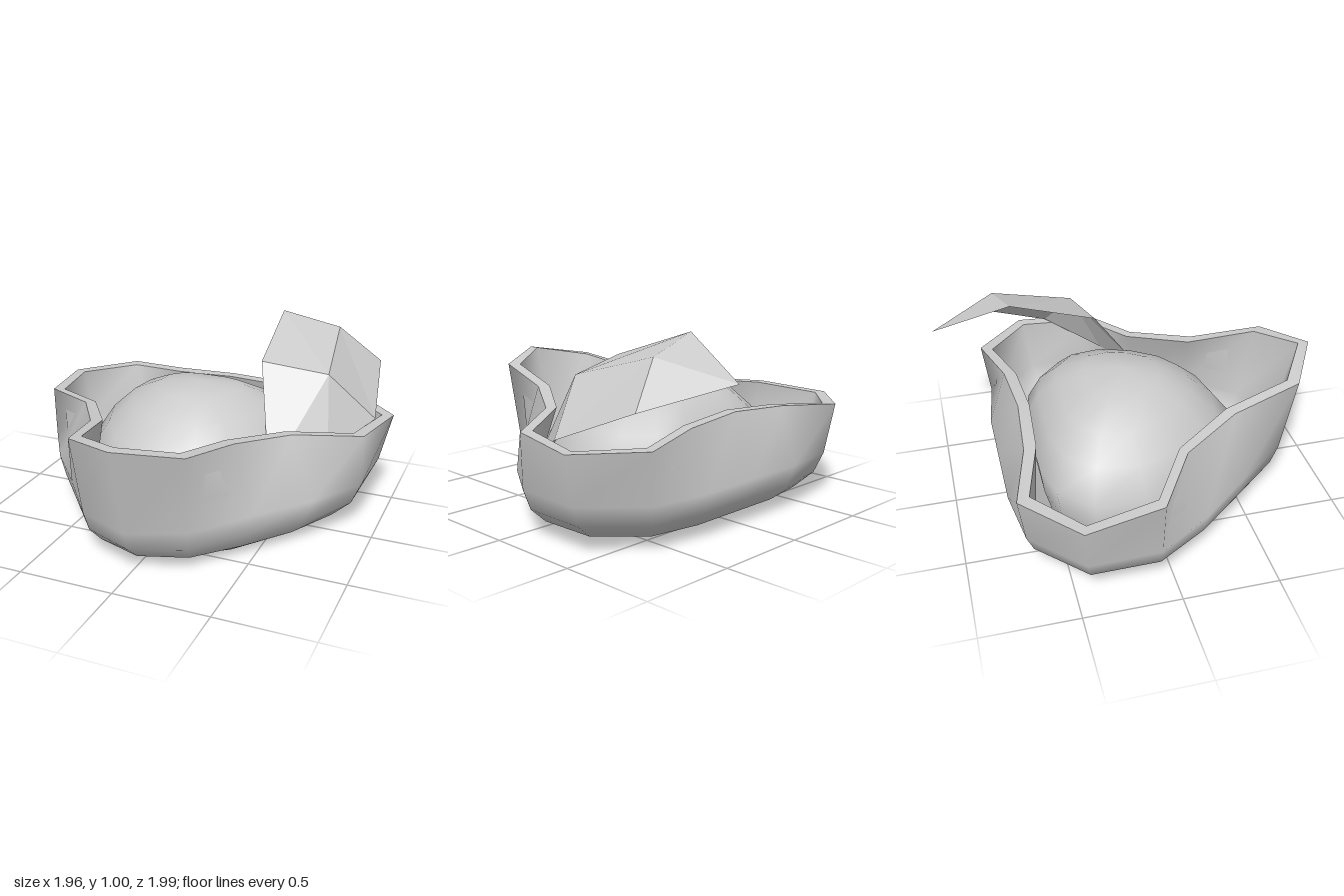
import * as THREE from 'three';
import { mergeVertices } from 'three/addons/utils/BufferGeometryUtils.js';

// Mirror a half outline [x, y, z] (front centre to back centre) into a closed ring
function ring(half) {
  const mirrored = half.slice(1, -1).reverse().map(([x, y, z]) => [-x, y, z]);
  return [...half, ...mirrored];
}

// Skin rings of equal length, in order, with smooth normals
function loft(rings) {
  const n = rings[0].length;
  const index = [];
  for (let r = 0; r < rings.length - 1; r++) {
    for (let c = 0; c < n; c++) {
      const a = r * n + c, b = r * n + (c + 1) % n;
      index.push(a, b, b + n, a, b + n, a + n);
    }
  }
  let geo = new THREE.BufferGeometry();
  geo.setAttribute('position', new THREE.Float32BufferAttribute(rings.flat(2), 3));
  geo.setIndex(index);
  geo = mergeVertices(geo);
  geo.computeVertexNormals();
  return geo;
}

// Blend two half outlines in plan, at a fixed height
const blend = (a, b, t, y) =>
  a.map((p, i) => [p[0] + (b[i][0] - p[0]) * t, y, p[2] + (b[i][2] - p[2]) * t]);

const rimOuter = [
  [0, 0.72, 0.99], [0.3, 0.67, 0.82], [0.39, 0.605, 0.44], [0.59, 0.565, 0.13],
  [0.91, 0.53, -0.07], [0.98, 0.51, -0.47], [0.7, 0.52, -0.735], [0.35, 0.55, -0.645], [0, 0.57, -0.62],
];
const rimInnerXZ = [
  [0, 0.93], [0.255, 0.77], [0.335, 0.41], [0.545, 0.1],
  [0.85, -0.09], [0.92, -0.45], [0.67, -0.67], [0.335, -0.58], [0, -0.56],
];
const rimInner = rimInnerXZ.map(([x, z], i) => [x, rimOuter[i][1], z]);
const belly = [
  [0, 0.25, 0.87], [0.28, 0.25, 0.75], [0.5, 0.25, 0.47], [0.73, 0.25, 0.2],
  [0.91, 0.25, -0.08], [0.92, 0.25, -0.45], [0.66, 0.25, -0.7], [0.34, 0.25, -0.745], [0, 0.25, -0.745],
];
const base = [
  [0, 0, 0.56], [0.2, 0, 0.52], [0.37, 0, 0.4], [0.51, 0, 0.2],
  [0.6, 0, -0.05], [0.57, 0, -0.3], [0.42, 0, -0.45], [0.22, 0, -0.5], [0, 0, -0.5],
];

export function createModel() {
  const group = new THREE.Group();
  const material = new THREE.MeshStandardMaterial({ color: 0xcccccc, side: THREE.DoubleSide });
  const add = (name, geometry, mat = material) => {
    const mesh = new THREE.Mesh(geometry, mat);
    mesh.name = name;
    group.add(mesh);
  };

  // Outer wall, open at the bottom and rounding up to the wavy rim
  add('outerWall', loft([
    base,
    blend(base, belly, 0.54, 0.055),
    blend(base, belly, 0.85, 0.14),
    belly,
    rimOuter,
  ].map(ring)));

  // Flat rim joining the two walls
  add('rim', loft([rimOuter, rimInner].map(ring)));

  // Inner wall and floor, running down to the foot of the dome
  const innerBelly = belly.map(([x, y, z]) => [x * 0.935, y, z * 0.925]);
  add('innerWall', loft([
    rimInner,
    innerBelly,
    blend(base, innerBelly, 0.82, 0.17),
    blend(base, innerBelly, 0.5, 0.1),
    blend(base, base, 0, 0.01),
  ].map(ring)));

  // Hollow dome rising from the base opening: [height, scale, z shift]
  const domeSteps = [
    [0, 1, 0], [0.16, 1.05, -0.015], [0.32, 1.06, -0.03], [0.48, 0.88, -0.05],
    [0.6, 0.66, -0.06], [0.68, 0.38, -0.06], [0.72, 0, -0.05],
  ];
  add('dome', loft(domeSteps.map(([y, s, dz]) =>
    ring(base.map(([x, , z]) => [x * s, y, z * s + dz])))));

  // Folded leaf-shaped flap: rows of left edge, crease and right edge
  const tip = [0.44, 0.82, -1], foot = [0.49, 0.34, 0.19];
  const rows = [
    [tip, tip, tip],
    [[0.3, 0.995, -0.59], [0.61, 0.918, -0.65], [0.83, 0.715, -0.76]],
    [[0.33, 0.84, -0.13], [0.675, 0.79, -0.2], [0.91, 0.535, -0.32]],
    [foot, foot, [0.74, 0.4, -0.02]],
  ];
  const flap = [];
  for (let r = 0; r < 3; r++) {
    for (let c = 0; c < 2; c++) {
      const a = rows[r][c], b = rows[r][c + 1], d = rows[r + 1][c], e = rows[r + 1][c + 1];
      if (a !== b) flap.push(a, e, b);
      if (d !== e) flap.push(a, d, e);
      else if (a !== b) continue;
    }
  }
  const flapGeo = new THREE.BufferGeometry();
  flapGeo.setAttribute('position', new THREE.Float32BufferAttribute(flap.flat(), 3));
  flapGeo.computeVertexNormals();
  const flapMaterial = material.clone();
  flapMaterial.flatShading = true;
  add('leafFlap', flapGeo, flapMaterial);

  return group;
}
